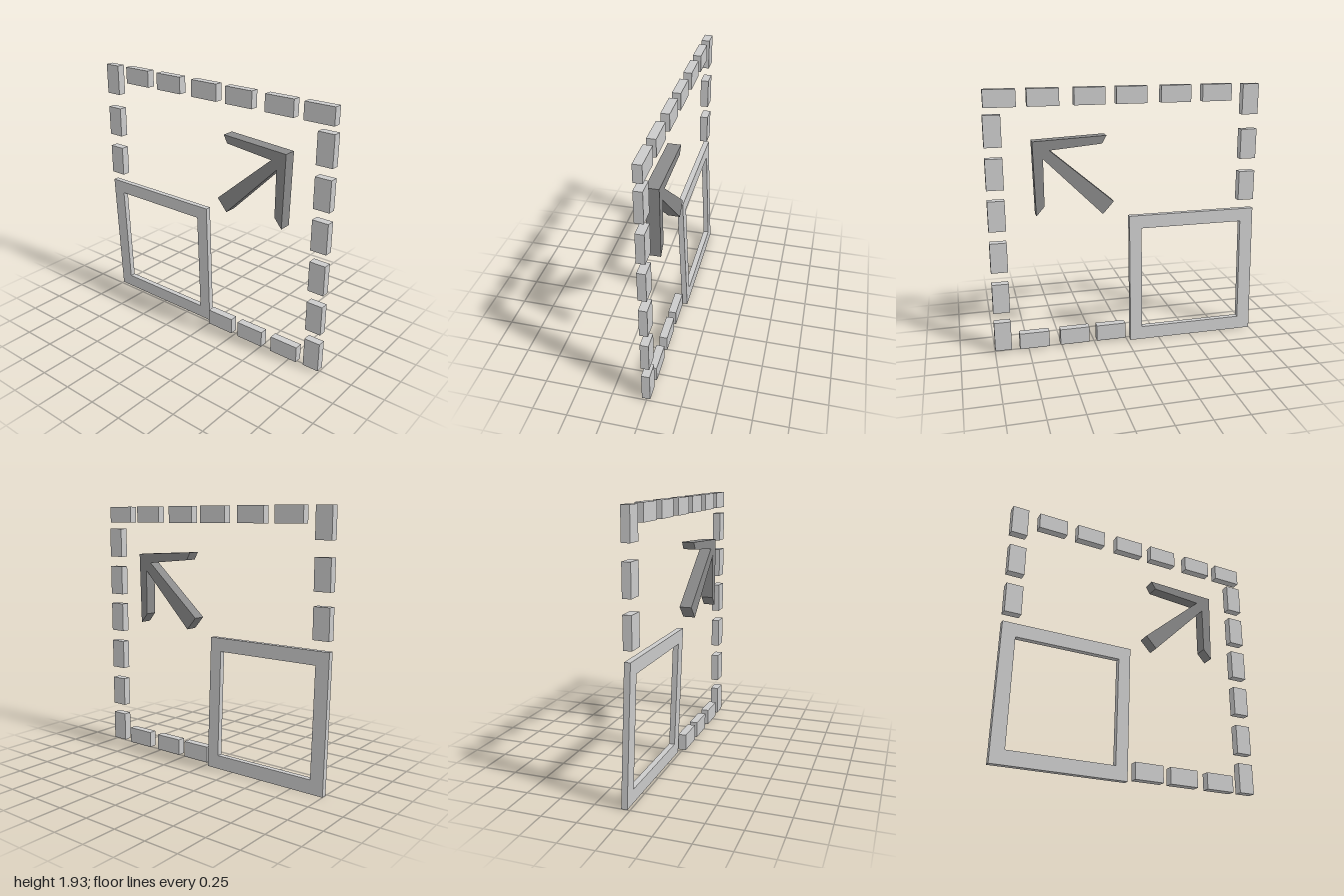
import * as THREE from 'three';

const grey = new THREE.MeshStandardMaterial({ color: 0xcccccc, flatShading: true });
const darkGrey = new THREE.MeshStandardMaterial({ color: 0x8a8a8a, flatShading: true });

function shapeFrom(points) {
  return new THREE.Shape(points.map(([x, y]) => new THREE.Vector2(x, y)));
}

// Extrudes an outline centred on z = 0, then leans it: z += offset(x, y)
function leaningPlate(shape, depth, offset) {
  const geo = new THREE.ExtrudeGeometry(shape, { depth, bevelEnabled: false });
  geo.translate(0, 0, -depth / 2);
  const p = geo.attributes.position;
  for (let i = 0; i < p.count; i++) p.setZ(i, p.getZ(i) + offset(p.getX(i), p.getY(i)));
  geo.computeVertexNormals();
  return geo;
}

function rect(x0, y0, x1, y1) {
  return [[x0, y0], [x1, y0], [x1, y1], [x0, y1]];
}

export function createModel() {
  const group = new THREE.Group();

  // Dashed border: equal blocks along the four sides
  const border = new THREE.Group();
  border.name = 'dashedBorder';
  const long = 0.222, short = 0.122, thick = 0.06;
  const flat = new THREE.BoxGeometry(long, short, thick);
  const upright = new THREE.BoxGeometry(short, long, thick);
  const addDash = (name, geo, x, y) => {
    const dash = new THREE.Mesh(geo, grey);
    dash.name = name;
    dash.position.set(x, y, 0.002);
    border.add(dash);
  };
  for (const x of [-0.676, -0.367, -0.04, 0.26, 0.585, 0.88]) addDash('topDash', flat, x, 1.866);
  for (const x of [0.12, 0.4, 0.705]) addDash('bottomDash', flat, x, 0.07);
  for (const y of [1.812, 1.481, 1.162]) addDash('leftDash', upright, -0.936, y);
  for (const y of [1.645, 1.345, 1.045, 0.737, 0.425, 0.126]) addDash('rightDash', upright, 0.938, y);
  group.add(border);

  // Square frame in the corner, leaning slightly forward at the top
  const outline = shapeFrom(rect(-1, 0, -0.025, 0.98));
  outline.holes.push(shapeFrom(rect(-0.9, 0.1, -0.117, 0.882)));
  const frame = new THREE.Mesh(leaningPlate(outline, 0.042, (x, y) => -0.04 + 0.041 * y), grey);
  frame.name = 'squareFrame';
  group.add(frame);

  // Diagonal arrow with a tapered shaft and obliquely cut head arms
  const arrowShape = shapeFrom([
    [0.18, 1.02], [0.6, 1.44], [0.6, 1.1], [0.66, 1.03], [0.672, 1.565],
    [0.15, 1.592], [0.182, 1.535], [0.555, 1.5], [0.1, 1.11],
  ]);
  const arrow = new THREE.Mesh(leaningPlate(arrowShape, 0.092, (x) => -0.004 + 0.028 * (x - 0.1)), darkGrey);
  arrow.name = 'arrow';
  group.add(arrow);

  return group;
}
